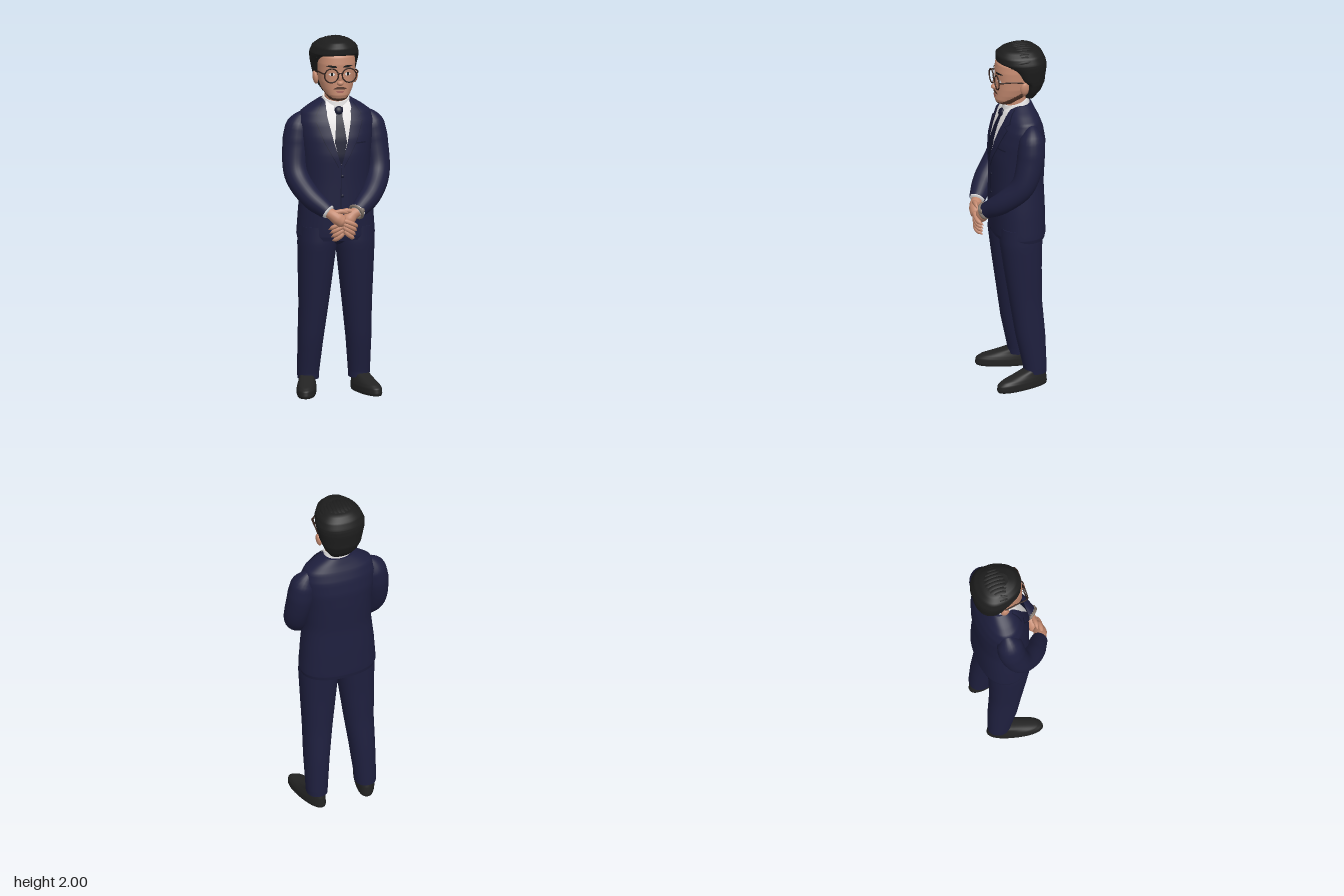
import * as THREE from 'three';
import { mergeVertices } from 'three/addons/utils/BufferGeometryUtils.js';

const mat = (name, color, side = THREE.FrontSide) => {
  const m = new THREE.MeshStandardMaterial({ color, side });
  m.name = name;
  return m;
};

// Cross-section rows, bottom to top: [y, centreX, centreZ, halfWidth, depthFront, depthBack]
const TORSO = [
  [0.875, 0, -0.05, 0.212, 0.14, 0.137], [0.9, 0, -0.05, 0.218, 0.146, 0.142],
  [1.05, 0, -0.05, 0.207, 0.153, 0.14], [1.2, 0, -0.05, 0.19, 0.153, 0.135],
  [1.35, 0, -0.05, 0.195, 0.154, 0.143], [1.45, 0, -0.055, 0.207, 0.145, 0.138],
  [1.53, 0, -0.06, 0.212, 0.125, 0.118], [1.585, 0, -0.065, 0.193, 0.105, 0.092],
  [1.62, 0, -0.065, 0.145, 0.088, 0.075], [1.655, 0, -0.065, 0.085, 0.06, 0.06],
];
const HEAD = [
  [1.655, 0, 0.02, 0.03, 0.03, 0.05], [1.665, 0, 0.01, 0.05, 0.06, 0.07],
  [1.69, 0, 0, 0.068, 0.08, 0.09], [1.72, 0, -0.02, 0.085, 0.098, 0.1],
  [1.76, 0, -0.03, 0.097, 0.106, 0.12], [1.81, 0, -0.03, 0.102, 0.104, 0.13],
  [1.86, 0, -0.03, 0.104, 0.106, 0.13], [1.9, 0, -0.03, 0.1, 0.1, 0.13],
  [1.95, 0, -0.04, 0.07, 0.07, 0.1],
];
const HAIR = [
  [1.685, 0, -0.11, 0.06, 0.03, 0.03], [1.73, 0, -0.11, 0.092, 0.025, 0.068],
  [1.78, 0, -0.11, 0.113, 0.03, 0.09], [1.81, 0, -0.1, 0.122, 0.065, 0.103],
  [1.87, 0, -0.1, 0.134, 0.11, 0.11], [1.895, 0, -0.1, 0.136, 0.145, 0.108],
  [1.912, 0, -0.1, 0.135, 0.168, 0.104], [1.95, 0, -0.095, 0.12, 0.165, 0.092],
  [1.977, 0, -0.085, 0.085, 0.13, 0.07], [1.99, 0, -0.07, 0.045, 0.07, 0.04],
];
const LEG = [
  [0.075, 0.143, -0.105, 0.058, 0.062, 0.066], [0.11, 0.143, -0.105, 0.06, 0.064, 0.066],
  [0.3, 0.135, -0.08, 0.07, 0.08, 0.085], [0.5, 0.122, -0.06, 0.082, 0.09, 0.09],
  [0.7, 0.113, -0.05, 0.097, 0.11, 0.1], [0.85, 0.106, -0.04, 0.108, 0.12, 0.115],
  [0.95, 0.104, -0.04, 0.106, 0.12, 0.12],
];
const SHOE = [
  [0, 0, 0, 0.05, 0.152, 0.152], [0.012, 0, 0, 0.054, 0.158, 0.155],
  [0.04, 0, 0, 0.054, 0.153, 0.152], [0.058, 0, -0.02, 0.05, 0.145, 0.13],
  [0.075, 0, -0.045, 0.045, 0.11, 0.1], [0.1, 0, -0.07, 0.04, 0.05, 0.07],
];
const NECK = [[1.58, 0, -0.045, 0.066, 0.07, 0.06], [1.72, 0, -0.04, 0.062, 0.065, 0.06]];
const COLLAR = [[1.61, 0, -0.05, 0.09, 0.09, 0.07], [1.668, 0, -0.045, 0.073, 0.076, 0.067]];

function rowAt(rows, y) {
  let i = 0;
  while (i < rows.length - 2 && y > rows[i + 1][0]) i++;
  const t = THREE.MathUtils.clamp((y - rows[i][0]) / (rows[i + 1][0] - rows[i][0]), 0, 1);
  return rows[i].map((v, k) => v + (rows[i + 1][k] - v) * t);
}

// Closed skin through the cross-sections; power above 2 squares the outline
function loft(rows, power = 2.3, side = 1, seg = 48, sub = 4) {
  const pos = [], idx = [], n = (rows.length - 1) * sub;
  const ring = (i) => {
    const k = Math.min(Math.floor(i / sub), rows.length - 2), f = i / sub - k;
    const [y, cx, cz, rx, zf, zb] = rows[k].map((v, q) => v + (rows[k + 1][q] - v) * f);
    for (let j = 0; j < seg; j++) {
      const a = j / seg * Math.PI * 2, c = Math.cos(a), s = Math.sin(a);
      const bend = (v) => Math.sign(v) * Math.abs(v) ** (2 / power);
      pos.push(cx * side + rx * bend(c), y, cz + (s > 0 ? zf : zb) * bend(s));
    }
    return [cx * side, y, cz];
  };
  for (let i = 0; i <= n; i++) ring(i);
  for (let i = 0; i < n; i++) for (let j = 0; j < seg; j++) {
    const a = i * seg + j, b = i * seg + (j + 1) % seg;
    idx.push(a, a + seg, b, b, a + seg, b + seg);
  }
  for (const i of [0, n]) {
    const start = pos.length / 3, mid = start + seg;
    pos.push(...ring(i));
    for (let j = 0; j < seg; j++) {
      const a = start + j, b = start + (j + 1) % seg;
      idx.push(mid, ...(i ? [b, a] : [a, b]));
    }
  }
  return build(pos, idx);
}

function build(pos, idx) {
  const g = new THREE.BufferGeometry();
  g.setAttribute('position', new THREE.Float32BufferAttribute(pos, 3));
  g.setIndex(idx);
  g.computeVertexNormals();
  return g;
}

// Thin panel lying on the front of a lofted body; edges: [y, xMin, xMax], top to bottom
function panel(rows, edges, offset, side = 1, power = 2.3) {
  const pos = [], idx = [], cols = 8, sub = 8, n = (edges.length - 1) * sub;
  for (let i = 0; i <= n; i++) {
    const k = Math.min(Math.floor(i / sub), edges.length - 2), f = i / sub - k;
    const [y, p, q] = edges[k].map((v, m) => v + (edges[k + 1][m] - v) * f);
    const [x0, x1] = side > 0 ? [p, q] : [-q, -p];
    const r = rowAt(rows, y);
    for (let j = 0; j <= cols; j++) {
      const x = x0 + (x1 - x0) * j / cols;
      const u = Math.min(Math.abs(x / r[3]), 1);
      pos.push(x, y, r[2] + r[4] * (1 - u ** power) ** (1 / power) + offset);
      if (i < n && j < cols) {
        const a = i * (cols + 1) + j, b = a + cols + 1;
        idx.push(a, b, b + 1, a, b + 1, a + 1);
      }
    }
  }
  return build(pos, idx);
}

// Tube whose radius follows a list along its length
function limb(points, radii, steps = 20, sides = 18) {
  const curve = new THREE.CatmullRomCurve3(points.map((p) => new THREE.Vector3(...p)));
  let g = new THREE.TubeGeometry(curve, steps, 1, sides);
  const p = g.attributes.position, v = new THREE.Vector3();
  for (let i = 0; i < p.count; i++) {
    const u = Math.floor(i / (sides + 1)) / steps, c = curve.getPointAt(u);
    const f = u * (radii.length - 1), k = Math.min(Math.floor(f), radii.length - 2);
    v.fromBufferAttribute(p, i).sub(c).multiplyScalar(THREE.MathUtils.lerp(radii[k], radii[k + 1], f - k)).add(c);
    p.setXYZ(i, v.x, v.y, v.z);
  }
  g.deleteAttribute('uv');
  g.deleteAttribute('normal');
  g = mergeVertices(g, 1e-5);
  g.computeVertexNormals();
  return g;
}

export function createModel() {
  const root = new THREE.Group();
  root.name = 'suitedMan';
  const D = THREE.DoubleSide;
  const navy = mat('navy suit', 0x1e1f3e, D), dark = mat('dark navy', 0x15172f, D), white = mat('white', 0xe4e2e2, D);
  const skin = mat('skin', 0xc48a70, D), hair = mat('black hair', 0x1d1d1d, D), leather = mat('shoe leather', 0x232323);
  const stubble = mat('stubble', 0x56392d, D), lips = mat('lips', 0xa5625a, D);
  const metal = mat('watch metal', 0x81756b, D), frame = mat('glasses frame', 0x33221c);
  const add = (name, geo, m, parent = root) => {
    const mesh = new THREE.Mesh(geo, m);
    mesh.name = name;
    parent.add(mesh);
    return mesh;
  };
  const ball = (name, m, at, size) => {
    const b = add(name, new THREE.SphereGeometry(1, 24, 16), m);
    b.position.set(...at);
    b.scale.set(...size);
    return b;
  };

  // Jacket, shirt front and tie
  add('jacket', loft(TORSO), navy);
  add('shirtFront', panel(TORSO, [[1.645, -0.06, 0.06], [1.6, -0.075, 0.075], [1.45, -0.045, 0.045], [1.3, -0.002, 0.002]], 0.004), white);
  add('tie', panel(TORSO, [[1.615, -0.026, 0.026], [1.575, -0.017, 0.017], [1.43, -0.034, 0.034], [1.31, -0.006, 0.006]], 0.008), dark);
  const knot = ball('tieKnot', dark, [0, 1.6, 0.042], [0.024, 0.024, 0.014]);
  knot.rotation.x = -0.4;
  add('jacketOpening', panel(TORSO, [[1.3, -0.002, 0.002], [1.0, -0.004, 0], [0.885, -0.02, -0.014]], 0.003), dark);
  add('breastPocket', panel(TORSO, [[1.425, 0.085, 0.145], [1.418, 0.085, 0.145]], 0.003), dark);
  for (const y of [1.24, 1.13]) ball('button', dark, [0.008, y, 0.105], [0.009, 0.009, 0.004]);

  // Collar, neck and head
  add('neck', loft(NECK, 2), skin);
  const collar = loft(COLLAR, 2);
  const cp = collar.attributes.position;
  for (let i = 0; i < cp.count; i++) cp.setY(i, cp.getY(i) - (cp.getZ(i) + 0.045) * 0.3);
  collar.computeVertexNormals();
  add('collar', collar, white);

  const headGeo = loft(HEAD, 2.2, 1, 72, 8), hp = headGeo.attributes.position, ix = headGeo.index.array;
  const face = [], beard = [];
  for (let i = 0; i < ix.length; i += 3) {
    const tri = [ix[i], ix[i + 1], ix[i + 2]];
    const y = tri.reduce((s, k) => s + hp.getY(k) / 3, 0), z = tri.reduce((s, k) => s + hp.getZ(k) / 3, 0);
    (z > -0.06 && y < 1.673 + Math.max(0, 0.06 - z) * 0.6 ? beard : face).push(...tri);
  }
  for (const [name, list, m] of [['face', face, skin], ['beard', beard, stubble]]) {
    const g = headGeo.clone();
    g.setIndex(list);
    add(name, g, m);
  }

  // Face details
  ball('noseBridge', skin, [0, 1.788, 0.074], [0.011, 0.035, 0.014]);
  ball('noseTip', skin, [0, 1.76, 0.082], [0.019, 0.015, 0.019]);
  add('moustache', panel(HEAD, [[1.738, -0.016, 0.016], [1.73, -0.034, 0.034], [1.724, -0.038, 0.038]], 0.003), stubble);
  add('mouth', panel(HEAD, [[1.716, -0.024, 0.024], [1.704, -0.015, 0.015]], 0.003), lips);
  for (const s of [-1, 1]) {
    add('eyeWhite', panel(HEAD, [[1.817, 0.036, 0.05], [1.808, 0.026, 0.062], [1.8, 0.036, 0.054]], 0.002, s), white);
    add('pupil', panel(HEAD, [[1.818, 0.039, 0.051], [1.8, 0.039, 0.051]], 0.004, s), hair);
    add('eyebrow', panel(HEAD, [[1.858, 0.03, 0.06], [1.853, 0.02, 0.078], [1.845, 0.018, 0.04]], 0.004, s), hair);
    ball('ear', skin, [s * 0.112, 1.772, -0.058], [0.015, 0.038, 0.024]).rotation.z = -s * 0.15;
    // Glasses
    const rim = add('glassesRim', new THREE.TorusGeometry(0.039, 0.0038, 8, 32), frame);
    rim.position.set(s * 0.05, 1.803, 0.083);
    add('glassesTemple', limb([[s * 0.088, 1.815, 0.083], [s * 0.098, 1.817, 0.078], [s * 0.108, 1.815, 0], [s * 0.114, 1.805, -0.06]], [0.004, 0.004], 16, 8), frame);
  }
  add('glassesBridge', limb([[-0.013, 1.81, 0.084], [0, 1.816, 0.09], [0.013, 1.81, 0.084]], [0.0038, 0.0038], 8, 8), frame);

  // Hair mass with swept locks on top
  add('hair', loft(HAIR, 2.2), hair);
  for (let i = 0; i < 13; i++) {
    const a0 = -1.05 + i * 0.165, pts = [];
    for (let t = 0; t <= 1.001; t += 0.2) {
      const a = a0 + 0.28 * Math.sin(t * 3) - 0.1, b = 0.36 + 0.08 * (i % 2) + t * 2.45;
      pts.push([0.122 * Math.sin(a), 1.862 + 0.12 * Math.cos(a * 0.85) * Math.sin(b), -0.07 + 0.13 * Math.cos(a) * Math.cos(b)]);
    }
    add('hairLock', limb(pts, [0.006, 0.017, 0.018, 0.018, 0.014, 0.001], 24, 10), hair);
  }

  for (const s of [-1, 1]) {
    // Lapels with a darker edge
    const edge = [[1.64, 0.062, 0.085], [1.575, 0.07, 0.125], [1.55, 0.066, 0.095], [1.54, 0.064, 0.128], [1.43, 0.04, 0.088], [1.29, -0.002, 0.012]];
    add('lapelEdge', panel(TORSO, edge.map(([y, a, b]) => [y, a - 0.002, b + 0.004]), 0.006, s), dark);
    add('lapel', panel(TORSO, edge, 0.009, s), navy);
    add('collarPoint', panel(TORSO, [[1.648, 0.03, 0.066], [1.61, 0.024, 0.072], [1.555, 0.046, 0.05]], 0.011, s), white);

    // Arms, cuffs
    add('sleeve', limb([[s * 0.165, 1.575, -0.075], [s * 0.2, 1.52, -0.07], [s * 0.222, 1.38, -0.055], [s * 0.228, 1.24, -0.01], [s * 0.175, 1.135, 0.08], [s * 0.085, 1.055, 0.155]],
      [0.02, 0.07, 0.077, 0.074, 0.069, 0.066, 0.062, 0.057, 0.045], 36, 24), navy);
    add('cuff', limb([[s * 0.1, 1.067, 0.142], [s * 0.072, 1.048, 0.165]], [0.001, 0.04, 0.04, 0.039, 0.001], 12, 24), white);

    // Trousers and shoes
    add('trouserLeg', loft(LEG, 2.2, s), navy);
    const shoe = add('shoe', loft(SHOE, 2.3), leather);
    shoe.position.set(s * 0.168, 0, -0.025);
    shoe.rotation.y = s * 0.25;
  }
  const seat = ball('trouserSeat', navy, [0, 0.91, -0.04], [0.12, 0.075, 0.115]);
  seat.rotation.x = 0.05;

  // Clasped hands: the right rests over the left
  for (const [name, s, z] of [['right', -1, 0.181], ['left', 1, 0.164]]) {
    const drop = s > 0 ? -0.012 : 0;
    add(name + 'Palm', limb([[s * 0.085, 1.052, 0.155], [s * 0.055, 1.035, z - 0.008], [s * 0.01, 1.0 + drop, z], [-s * 0.02, 0.985 + drop, z]],
      [0.028, 0.032, 0.037, 0.034, 0.002], 20, 18), skin);
    for (let i = 0; i < 4; i++) {
      const x = 0.004 + 0.011 * (3 - i), y = 1.015 - i * 0.021 + drop;
      add(name + 'Finger', limb([[s * x * 0.5, y, z + 0.014], [-s * (0.055 - i * 0.008), y - 0.03, z + 0.014], [-s * (0.082 - i * 0.007), y - 0.05, z - 0.012]],
        [0.011, 0.014, 0.013, 0.012, 0.001], 16, 10), skin);
    }
    add(name + 'Thumb', limb([[s * 0.045, 1.055, z + 0.004], [s * 0.01, 1.06, z + 0.006], [-s * 0.03, 1.045, z + 0.006]], [0.013, 0.014, 0.012, 0.001], 12, 10), skin);
  }

  // Wristwatch
  const watch = add('watchBand', new THREE.TorusGeometry(0.041, 0.008, 10, 32), metal);
  watch.position.set(0.074, 1.05, 0.164);
  watch.lookAt(0.046, 1.031, 0.187);
  ball('watchFace', metal, [0.1, 1.062, 0.19], [0.015, 0.015, 0.012]);
  return root;
}
